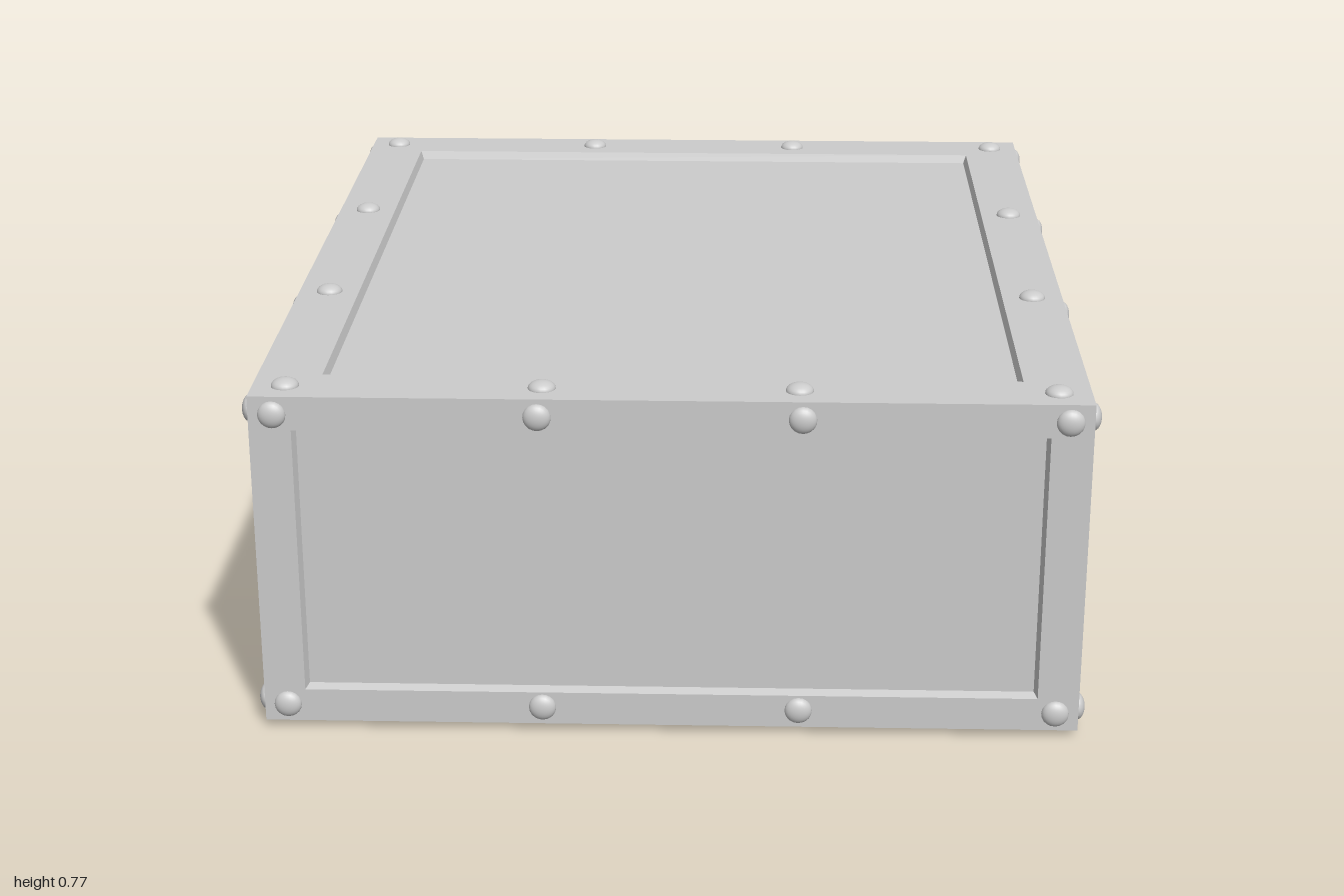
import * as THREE from 'three';

const HALF = { x: 0.86, y: 0.368, z: 0.983 };
const RIVET_R = 0.029, RIVET_H = 0.017;
const DEPTH = 0.02, SLOPE = 0.007;

// Plate facing +z: flat border, sloped step, then a recessed panel
function plateGeometry(w, h, iw, ih) {
  const rings = [[w, h, 0], [iw, ih, 0], [iw - SLOPE, ih - SLOPE, -DEPTH]];
  const corners = [[-1, -1], [1, -1], [1, 1], [-1, 1]];
  const pos = [], index = [];
  for (const [rw, rh, z] of rings)
    for (const [sx, sy] of corners) pos.push(sx * rw, sy * rh, z);
  for (let r = 0; r < rings.length - 1; r++)
    for (let i = 0; i < 4; i++) {
      const a = r * 4 + i, b = r * 4 + (i + 1) % 4;
      index.push(a, b, b + 4, a, b + 4, a + 4);
    }
  const c = (rings.length - 1) * 4;
  index.push(c, c + 1, c + 2, c, c + 2, c + 3);
  const indexed = new THREE.BufferGeometry();
  indexed.setAttribute('position', new THREE.Float32BufferAttribute(pos, 3));
  indexed.setIndex(index);
  const g = indexed.toNonIndexed();
  g.computeVertexNormals();
  return g;
}

export function createModel() {
  const model = new THREE.Group();
  model.name = 'rivetedCrate';
  const material = new THREE.MeshStandardMaterial({ color: 0xcccccc });

  // Flattened dome rising along +z
  const rivetGeo = new THREE.SphereGeometry(RIVET_R, 20, 8, 0, Math.PI * 2, 0, Math.PI / 2);
  rivetGeo.rotateX(Math.PI / 2);
  rivetGeo.scale(1, 1, RIVET_H / RIVET_R);

  // One side of the crate: plate plus rivets along its border
  function addSide(name, { size, inset, rivetX, rivetY, midY }, distance, rx, ry) {
    const side = new THREE.Group();
    side.name = name;
    const plate = new THREE.Mesh(plateGeometry(...size, ...inset), material);
    plate.name = name + 'Plate';
    side.add(plate);
    const spots = [];
    for (const sy of [-1, 1]) {
      for (const k of [-1, -1 / 3, 1 / 3, 1]) spots.push([k * rivetX, sy * rivetY]);
      if (midY) for (const sx of [-1, 1]) spots.push([sx * rivetX, sy * midY]);
    }
    for (const [x, y] of spots) {
      const rivet = new THREE.Mesh(rivetGeo, material);
      rivet.name = 'rivet';
      rivet.position.set(x, y, 0);
      side.add(rivet);
    }
    side.rotation.set(rx, ry, 0);
    side.position.set(0, 0, distance).applyEuler(side.rotation);
    side.position.y += HALF.y + RIVET_H;
    model.add(side);
  }

  const endSide = { size: [HALF.x, HALF.y], inset: [0.773, 0.295], rivetX: 0.811, rivetY: 0.329 };
  const longSide = { size: [HALF.z, HALF.y], inset: [0.911, 0.287], rivetX: 0.945, rivetY: 0.329 };
  const lid = { size: [HALF.x, HALF.z], inset: [0.725, 0.852], rivetX: 0.792, rivetY: 0.917, midY: 0.315 };

  const Q = Math.PI / 2;
  addSide('front', endSide, HALF.z, 0, 0);
  addSide('back', endSide, HALF.z, 0, Math.PI);
  addSide('leftSide', longSide, HALF.x, 0, Q);
  addSide('rightSide', longSide, HALF.x, 0, -Q);
  addSide('top', lid, HALF.y, -Q, 0);
  addSide('bottom', lid, HALF.y, Q, 0);
  return model;
}
